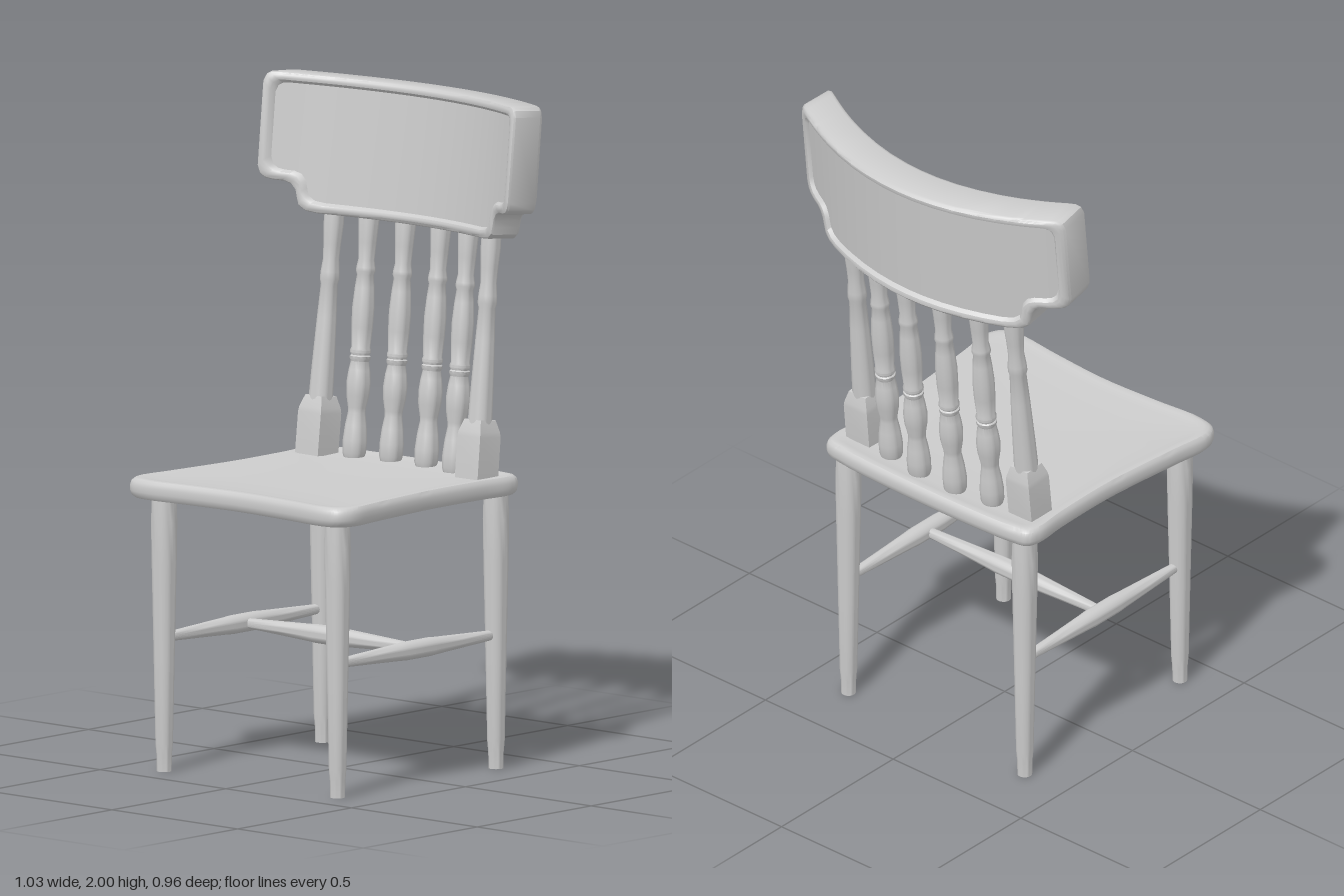
import * as THREE from 'three';
import { toCreasedNormals } from 'three/addons/utils/BufferGeometryUtils.js';

const material = new THREE.MeshStandardMaterial({ color: 0xcccccc });
const V = (x, y, z) => new THREE.Vector3(x, y, z);

function addMesh(group, name, geometry) {
  const mesh = new THREE.Mesh(geometry, material);
  mesh.name = name;
  group.add(mesh);
  return mesh;
}

// Turned part: profile of [radius, fraction of length], placed between two points
function addTurned(group, name, profile, from, to) {
  const axis = to.clone().sub(from);
  const length = axis.length();
  const points = [[0, 0], ...profile, [0, 1]].map(([r, t]) => new THREE.Vector2(r, t * length));
  const geometry = toCreasedNormals(new THREE.LatheGeometry(points, 24), 0.7);
  const mesh = addMesh(group, name, geometry);
  mesh.position.copy(from);
  mesh.quaternion.setFromUnitVectors(V(0, 1, 0), axis.normalize());
  return mesh;
}

// Skin over a list of closed rings with equal point counts
function loft(rings, crease) {
  const n = rings[0].length;
  const index = [];
  for (let i = 0; i < rings.length - 1; i++) {
    for (let j = 0; j < n; j++) {
      const k = (j + 1) % n;
      const a = i * n + j, b = a + n, c = (i + 1) * n + k, d = i * n + k;
      index.push(a, b, d, b, c, d);
    }
  }
  const geometry = new THREE.BufferGeometry().setFromPoints(rings.flat());
  geometry.setIndex(index);
  return toCreasedNormals(geometry, crease);
}

// Seat: waisted outline, rounded edge, shallow dished top
function seatGeometry() {
  const half = [[0.2, 0.466], [0.36, 0.479], [0.412, 0.465], [0.436, 0.42], [0.425, 0.3], [0.406, 0.12],
    [0.398, 0], [0.4, -0.2], [0.407, -0.31], [0.393, -0.348], [0.35, -0.361]];
  const outline = [[0, 0.455], ...half, [0, -0.375], ...half.map(([x, z]) => [-x, z]).reverse()];
  const curve = new THREE.CatmullRomCurve3(outline.map(([x, z]) => V(x, 0, z)), true);
  const points = curve.getPoints(120).slice(0, -1);
  const steps = [[0, 0.87], [0.5, 0.87], [0.85, 0.874], [0.92, 0.877], [0.95, 0.88], [0.975, 0.878], [0.993, 0.87],
    [1, 0.858], [1, 0.842], [0.993, 0.83], [0.975, 0.821], [0.95, 0.82], [0, 0.82]];
  return loft(steps.map(([s, y]) => points.map((p) => V(p.x * s, y, 0.05 + (p.z - 0.05) * s))), 0.6);
}

// Crest rail: bowed board with stepped lower corners and a rimmed panel on each face
function crestGeometry() {
  const H = 0.41, W = 0.5, R = 0.03;
  const half = [[0.06, 0], [0.13, 0], [0.2, 0], [0.27, 0], [0.33, 0], [0.365, 0.004], [0.385, 0.018], [0.391, 0.04],
    [0.396, 0.062], [0.41, 0.08], [0.43, 0.087], [0.46, 0.088], [0.48, 0.092], [0.493, 0.103], [0.5, 0.125]];
  const chain = [...half.map(([x, y]) => [-x, y]).reverse(), [0, 0], ...half];
  const ring = ([inset, depth, pinch = 0]) => {
    const place = (x, y) => {
      const sx = x * (1 - inset / W);
      return V(sx * (1 + 0.25 * depth), y, 0.63 * sx * sx - depth);
    };
    const lower = [], upper = [];
    for (const [x, y] of chain) {
      const c = Math.max(0, Math.abs(x) - (W - R));
      const lo = y + inset;
      const hi = H - inset - (R - Math.sqrt(Math.max(0, R * R - c * c)));
      const mid = (lo + hi) / 2;
      lower.push(place(x, lo + (mid - lo) * pinch));
      upper.push(place(x, hi + (mid - hi) * pinch));
    }
    return [...lower, ...upper.reverse()];
  };
  const steps = [[0.032, 0.014, 1], [0.032, 0.014], [0.024, 0.002], [0.018, 0], [0.01, 0.001], [0.003, 0.006],
    [0, 0.014], [0, 0.108], [0.003, 0.115], [0.01, 0.12], [0.018, 0.12], [0.024, 0.118], [0.032, 0.106],
    [0.032, 0.106, 1]];
  return loft(steps.map(ring), 0.6);
}

export function createModel() {
  const chair = new THREE.Group();
  chair.name = 'chair';

  addMesh(chair, 'seat', seatGeometry());

  const crest = addMesh(chair, 'crestRail', crestGeometry());
  crest.position.set(0, 1.58, -0.325);
  crest.rotation.x = -0.1;

  const legProfile = [[0.022, 0], [0.023, 0.06], [0.026, 0.1], [0.031, 0.4], [0.037, 0.75], [0.039, 0.9], [0.036, 1]];
  const stretcherProfile = [[0.014, 0], [0.016, 0.06], [0.021, 0.22], [0.026, 0.38], [0.028, 0.42],
    [0.028, 0.58], [0.026, 0.62], [0.021, 0.78], [0.016, 0.94], [0.014, 1]];
  const postProfile = [[0.04, 0], [0.036, 0.23], [0.034, 0.35], [0.029, 0.55], [0.025, 0.68], [0.029, 0.7],
    [0.028, 0.73], [0.024, 0.78], [0.026, 0.84], [0.03, 0.92], [0.029, 1]];
  const spindleProfile = [[0.03, 0], [0.035, 0.02], [0.036, 0.07], [0.032, 0.13], [0.026, 0.18], [0.027, 0.2],
    [0.034, 0.25], [0.036, 0.3], [0.032, 0.35], [0.027, 0.385], [0.031, 0.395], [0.031, 0.405], [0.027, 0.41],
    [0.031, 0.42], [0.031, 0.43], [0.028, 0.44], [0.032, 0.52], [0.033, 0.6], [0.029, 0.68], [0.025, 0.73],
    [0.029, 0.745], [0.028, 0.76], [0.024, 0.79], [0.027, 0.86], [0.031, 0.95], [0.029, 1]];

  for (const side of [1, -1]) {
    const name = side > 0 ? 'left' : 'right';
    const x = side * 0.345;

    // Legs and side stretcher
    addTurned(chair, name + 'FrontLeg', legProfile, V(x, 0, 0.39), V(x, 0.83, 0.39));
    addTurned(chair, name + 'RearLeg', legProfile, V(x, 0, -0.305), V(x, 0.83, -0.305));
    addTurned(chair, name + 'Stretcher', stretcherProfile, V(x, 0.4, -0.295), V(x, 0.4, 0.38));

    // Back post with a square foot
    const post = addTurned(chair, name + 'BackPost', postProfile,
      V(side * 0.318, 0.87, -0.249), V(side * 0.312, 1.61, -0.324));
    const foot = [[0, 0], [0.064, 0], [0.064, 0.125], [0.061, 0.14], [0.046, 0.175], [0, 0.175]];
    const geometry = new THREE.LatheGeometry(foot.map(([r, y]) => new THREE.Vector2(r, y)), 4, Math.PI / 4);
    addMesh(post, name + 'PostFoot', toCreasedNormals(geometry, 0.3));

    // Spindles
    [[0.07, -0.3, -0.37], [0.198, -0.28, -0.35]].forEach(([sx, z0, z1], i) => {
      addTurned(chair, name + (i ? 'Outer' : 'Inner') + 'Spindle', spindleProfile,
        V(side * sx, 0.87, z0), V(side * sx, 1.61, z1));
    });
  }

  addTurned(chair, 'crossStretcher', stretcherProfile, V(-0.345, 0.4, 0.04), V(0.345, 0.4, 0.04));
  return chair;
}
